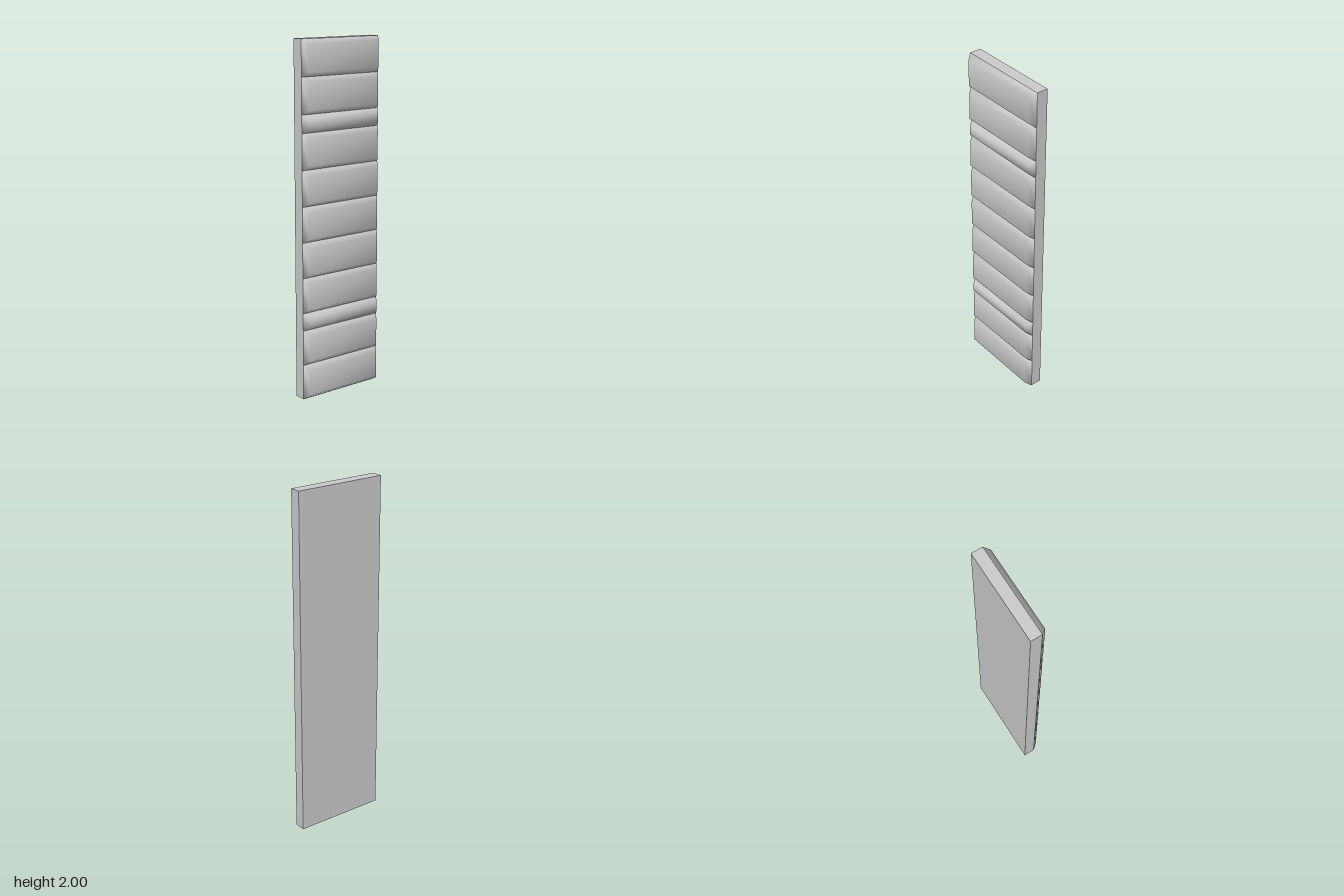
import * as THREE from 'three';

const WIDTH = 0.534;
const BACK = -0.049, SEAM = 0.017, FRONT = 0.049;
const BEVEL = 0.025;
// Plank heights from the bottom up
const HEIGHTS = [0.2, 0.2, 0.1, 0.2, 0.2, 0.2, 0.2, 0.2, 0.1, 0.2, 0.2];

// Bevelled plank face: shared corners give softly shaded edges
function plankGeometry(height) {
  const ring = (inset, z) => {
    const x = WIDTH / 2 - inset, y = height / 2 - inset;
    return [-x, -y, z, x, -y, z, x, y, z, -x, y, z];
  };
  const index = [4, 5, 6, 4, 6, 7];
  for (let i = 0; i < 4; i++) {
    const j = (i + 1) % 4;
    index.push(i, j, j + 4, i, j + 4, i + 4);
  }
  const geometry = new THREE.BufferGeometry();
  geometry.setAttribute('position', new THREE.Float32BufferAttribute([...ring(0, SEAM), ...ring(BEVEL, FRONT)], 3));
  geometry.setIndex(index);
  geometry.computeVertexNormals();
  return geometry;
}

export function createModel() {
  const group = new THREE.Group();
  group.name = 'plankPanel';
  const material = new THREE.MeshStandardMaterial({ color: 0xcccccc });

  // Flat backing board
  const board = new THREE.Mesh(new THREE.BoxGeometry(WIDTH, 2, SEAM - BACK), material);
  board.name = 'backingBoard';
  board.position.set(0, 1, (SEAM + BACK) / 2);
  group.add(board);

  // Stacked planks with V grooves between them
  let y = 0;
  HEIGHTS.forEach((height, i) => {
    const plank = new THREE.Mesh(plankGeometry(height), material);
    plank.name = `plank${i + 1}`;
    plank.position.y = y + height / 2;
    y += height;
    group.add(plank);
  });
  return group;
}
